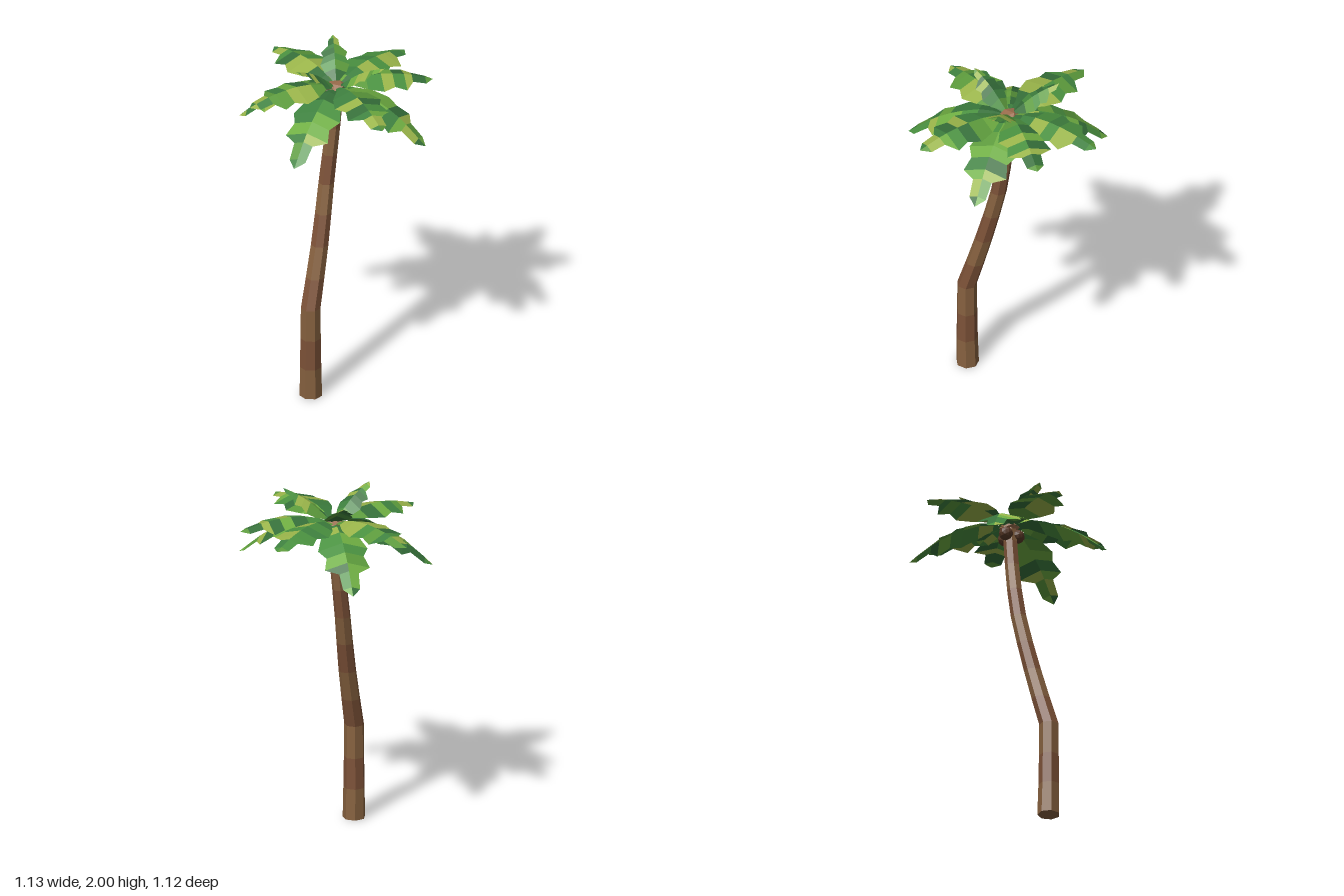
import * as THREE from 'three';

const GREENS = [0x6fae42, 0x3f8240, 0x5c9a3c, 0x9ab54a, 0x4a9140, 0x36703a];
const BROWNS = [0x86613f, 0x7d5238];

// Small seeded generator for the patchwork of leaf colours
let seed = 7;
const rand = () => (seed = (seed * 16807) % 2147483647) / 2147483647;

const material = (color) =>
  new THREE.MeshStandardMaterial({ color, flatShading: true, side: THREE.DoubleSide });
const barkMats = BROWNS.map(material);
const leafMats = GREENS.map(material);

// Mesh from a plain list of triangle corners
function triMesh(name, corners, mat) {
  const geo = new THREE.BufferGeometry().setFromPoints(corners);
  geo.computeVertexNormals();
  const mesh = new THREE.Mesh(geo, mat);
  mesh.name = name;
  return mesh;
}

// Half outline of a frond: [distance along the rib, half width]
const OUTLINE = [
  [0.03, 0.015], [0.16, 0.045], [0.3, 0.105], [0.46, 0.14], [0.58, 0.105],
  [0.7, 0.127], [0.78, 0.055], [0.92, 0.048], [1, 0],
];

const CROWN = new THREE.Vector3(-0.012, 1.82, 0.008);

// Frond types: rib height above the crown along its length, width factor, fold of the blade
const height = (pts) => {
  const curve = new THREE.SplineCurve(pts.map((p) => new THREE.Vector2(...p)));
  return (t) => {
    let lo = 0, hi = 1;
    for (let i = 0; i < 24; i++) {
      const mid = (lo + hi) / 2;
      if (curve.getPoint(mid).x < t) lo = mid; else hi = mid;
    }
    return curve.getPoint(lo).y;
  };
};
const TYPES = {
  spreading: { y: height([[0, 0], [0.2, 0.045], [0.45, 0.063], [0.75, 0.045], [1, 0.005]]), width: 1, fold: 0.3 },
  drooping: { y: height([[0, 0], [0.2, 0.012], [0.4, -0.012], [0.7, -0.095], [1, -0.235]]), width: 1, fold: 0.3 },
  upright: { y: height([[0, 0], [0.25, 0.06], [0.5, 0.115], [0.75, 0.152], [1, 0.178]]), width: 0.58, fold: 0.45 },
};

// Folded blade running from the crown to its tip, sorted into colour patches
function frond(kind, tipX, tipZ) {
  const { y, width, fold } = TYPES[kind];
  const group = new THREE.Group();
  group.name = kind + 'Frond';
  const dx = tipX - CROWN.x, dz = tipZ - CROWN.z, len = Math.hypot(dx, dz);
  const point = ([t, w], side) => new THREE.Vector3(
    CROWN.x + dx * t - (dz / len) * w * width * side,
    CROWN.y + y(t) - Math.abs(side) * w * width * fold,
    CROWN.z + dz * t + (dx / len) * w * width * side,
  );
  const buckets = GREENS.map(() => []);
  for (let i = 0; i < OUTLINE.length - 1; i++) {
    for (const side of [-1, 1]) {
      const a = point(OUTLINE[i], 0), b = point(OUTLINE[i + 1], 0);
      const c = point(OUTLINE[i], side), d = point(OUTLINE[i + 1], side);
      const bucket = buckets[Math.floor(rand() * GREENS.length)];
      if (side > 0) bucket.push(a, c, b, b, c, d);
      else bucket.push(a, b, c, b, d, c);
    }
  }
  buckets.forEach((corners, i) => {
    if (corners.length) group.add(triMesh('leafPatch', corners, leafMats[i]));
  });
  return group;
}

// Leaning trunk, one band of bark per pair of rings: [x, y, z, radius]
function trunk() {
  const SIDES = 7;
  const keys = [
    [-0.267, 0, 0.039, 0.064], [-0.27, 0.18, 0.04, 0.061], [-0.27, 0.36, 0.04, 0.058],
    [-0.27, 0.55, 0.04, 0.056], [-0.22, 0.72, 0.03, 0.053], [-0.17, 0.9, 0.02, 0.05],
    [-0.125, 1.08, 0.008, 0.047], [-0.087, 1.25, -0.002, 0.045], [-0.058, 1.42, -0.002, 0.043],
    [-0.036, 1.58, 0.003, 0.041], [-0.02, 1.73, 0.008, 0.04], [-0.012, 1.82, 0.008, 0.04],
  ];
  const corner = ([x, y, z, r], i) => {
    const a = ((i + 0.25) / SIDES) * Math.PI * 2;
    return new THREE.Vector3(x + r * Math.cos(a), y, z + r * Math.sin(a));
  };
  const group = new THREE.Group();
  group.name = 'trunk';
  for (let k = 0; k < keys.length - 1; k++) {
    const corners = [];
    for (let i = 0; i < SIDES; i++) {
      const a = corner(keys[k], i), b = corner(keys[k], i + 1);
      const c = corner(keys[k + 1], i), d = corner(keys[k + 1], i + 1);
      corners.push(a, c, b, b, c, d);
      if (k === 0) corners.push(new THREE.Vector3(keys[0][0], 0, keys[0][2]), a, b);
    }
    group.add(triMesh('barkBand', corners, barkMats[k % 2]));
  }
  return group;
}

export function createModel() {
  seed = 7;
  const model = new THREE.Group();
  model.name = 'palmTree';
  model.add(trunk());

  // Faceted knob closing the top of the trunk
  const knob = new THREE.Mesh(new THREE.IcosahedronGeometry(0.058, 0), material(0x9a6c4c));
  knob.name = 'crownKnob';
  knob.scale.y = 0.55;
  knob.position.set(CROWN.x, 1.822, CROWN.z);
  model.add(knob);

  // Coconuts clustered under the fronds
  const nutMat = material(0x5a3a28);
  for (let i = 0; i < 3; i++) {
    const a = 0.3 + (i * Math.PI * 2) / 3;
    const nut = new THREE.Mesh(new THREE.IcosahedronGeometry(0.04, 1), nutMat);
    nut.name = 'coconut';
    nut.position.set(CROWN.x + 0.045 * Math.cos(a), 1.768, CROWN.z + 0.045 * Math.sin(a));
    nut.rotation.set(i, a, 0);
    model.add(nut);
  }

  // Fronds listed by kind and tip position
  const tips = {
    spreading: [[0.565, 0.012], [0.4, 0.36], [-0.255, 0.55], [-0.525, -0.19], [0.12, -0.56]],
    drooping: [[0.11, 0.555], [-0.57, 0.175], [-0.285, -0.47], [0.39, -0.38]],
    upright: [[0.19, -0.19], [-0.28, -0.055], [0.07, 0.29]],
  };
  for (const [kind, list] of Object.entries(tips))
    for (const [x, z] of list) model.add(frond(kind, x, z));
  return model;
}
